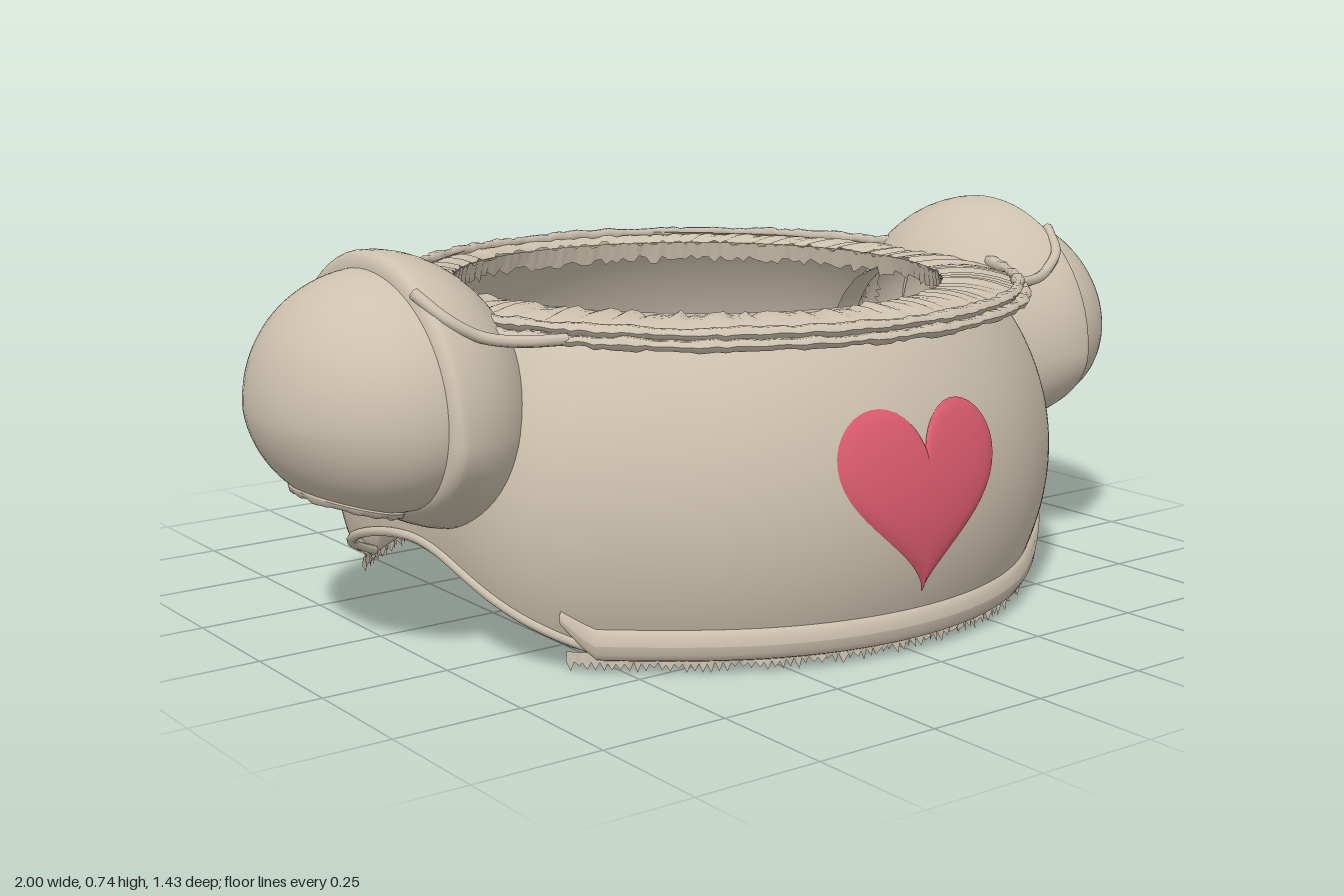
import * as THREE from 'three';

const { sin, cos, PI, sqrt, abs, max, exp, atan2 } = Math;
const cloth = new THREE.MeshStandardMaterial({ color: 0xcdc1ae, side: THREE.DoubleSide });
cloth.name = 'beige cloth';
const pink = new THREE.MeshStandardMaterial({ color: 0xdb5b6d, side: THREE.DoubleSide });
pink.name = 'pink patch';

// Small repeatable noise in 0..1
const noise = (n) => { const v = sin(n * 127.1 + 31.7) * 43758.5453; return v - Math.floor(v); };

// Body shell: a rounded profile swept round a circle that flares beside the sleeves
const A = 0.71, B = 0.6, CY = 0.26;
const radiusAt = (y) => A * sqrt(max(0, 1 - ((y - CY) / B) ** 2));
const flare = (a) => {
  const phi = atan2(abs(sin(a)), abs(cos(a)));
  return 1 + 0.05 * exp(-(((phi - 1.08) / 0.25) ** 2)) - 0.05 * exp(-(((phi - PI / 2) / 0.3) ** 2));
};
const sideX = (y, z) => {
  let x = 0.65;
  for (let i = 0; i < 8; i++) x = sqrt(max(0, (radiusAt(y) * flare(atan2(x, z))) ** 2 - z * z));
  return x;
};
const bottomAt = (z) => 0.04 + 0.14 * max(0, 1 - (z / 0.42) ** 2);
const collarY = (z) => 0.62 - 0.03 * z;
const outsideBody = (p) => p.y > collarY(p.z) + 0.01 ||
  Math.hypot(p.x, p.z) > radiusAt(p.y) * flare(atan2(p.x, p.z)) - 0.012;
const ARM = { y: 0.42, z: 0.035 };

// Surface from a rule f(u, v); u may close on itself, keep() drops faces
function surface(name, nu, nv, f, { closed = true, keep, mat = cloth } = {}) {
  const cols = closed ? nu : nu + 1, pts = [], index = [];
  for (let j = 0; j <= nv; j++)
    for (let i = 0; i < cols; i++) pts.push(new THREE.Vector3(...f(i / nu, j / nv, i)));
  const tri = (a, b, c) => {
    const mid = pts[a].clone().add(pts[b]).add(pts[c]).divideScalar(3);
    if (!keep || keep(mid)) index.push(a, b, c);
  };
  for (let j = 0; j < nv; j++)
    for (let i = 0; i < nu; i++) {
      const k = (i + 1) % cols;
      const a = j * cols + i, b = j * cols + k, c = a + cols, d = b + cols;
      tri(a, b, d);
      tri(a, d, c);
    }
  const g = new THREE.BufferGeometry().setFromPoints(pts);
  g.setIndex(index);
  g.computeVertexNormals();
  const mesh = new THREE.Mesh(g, mat);
  mesh.name = name;
  return mesh;
}

function tube(name, points, radius) {
  const curve = new THREE.CatmullRomCurve3(points.map((p) => new THREE.Vector3(...p)));
  const mesh = new THREE.Mesh(new THREE.TubeGeometry(curve, 60, radius, 8), cloth);
  mesh.name = name;
  return mesh;
}

// Shell with an open armhole on each side
function makeBody() {
  return surface('body', 200, 50, (u, v) => {
    const a = u * 2 * PI, k = flare(a), z0 = A * k * cos(a);
    const lo = bottomAt(z0), hi = collarY(z0) + 0.01;
    const y = lo + (hi - lo) * v, r = radiusAt(y) * k;
    return [r * sin(a), y, r * cos(a)];
  }, { keep: (p) => ((p.y - ARM.y) / 0.175) ** 2 + ((p.z - ARM.z) / 0.26) ** 2 > 1 });
}

function makeCollar() {
  const g = new THREE.Group();
  g.name = 'collar';
  const outer = (a) => [0.665 * sin(a), 0.05 + 0.595 * cos(a)];
  // Gathered band with radial pleats
  g.add(surface('collarBand', 240, 6, (u, v, i) => {
    const a = u * 2 * PI, [ox, oz] = outer(a);
    const pleat = (noise(i) - 0.5) * 0.014 * v;
    const x = ox + (0.495 * sin(a) - ox) * v, z = oz + (0.505 * cos(a) - oz) * v;
    const y0 = collarY(oz);
    return [x * (1 + pleat), y0 + (0.63 - y0) * v + 0.012 * sin(v * PI) + pleat, z * (1 + pleat)];
  }));
  // Short frill hanging from the inner edge
  g.add(surface('innerFrill', 240, 2, (u, v, i) => {
    const a = u * 2 * PI, k = 1 + 0.012 * v * (i % 2) + 0.01 * v;
    return [0.495 * k * sin(a), 0.63 - v * (0.03 + 0.02 * noise(i + 9)), 0.505 * k * cos(a)];
  }));
  // Lumpy outer edging, in two rows
  for (const [row, dy] of [[0, -0.008], [1, 0.011]])
    g.add(surface('collarEdging', 260, 6, (u, v, i) => {
      const a = u * 2 * PI, t = v * 2 * PI, [ox, oz] = outer(a);
      const s = 0.008 + 0.006 * noise(Math.floor(i / 3) + row * 50) + 0.002 * noise(i);
      const k = 1 + (s * cos(t) - row * 0.012) / 0.6;
      return [ox * k, collarY(oz) + dy + s * sin(t) + 0.004 * noise(i + 77), oz * k];
    }));
  // Ends of the edging running up onto the sleeves
  for (const s of [-1, 1])
    g.add(tube('edgingTail', [[s * 0.56, 0.605, 0.37], [s * 0.64, 0.605, 0.34], [s * 0.7, 0.615, 0.31],
      [s * 0.75, 0.645, 0.285], [s * 0.785, 0.69, 0.225]], 0.011));
  return g;
}

// Padded hem, toothed frill and arch trim along the lower edge
function makeHem() {
  const g = new THREE.Group();
  g.name = 'hem';
  const span = 0.985;
  for (const mid of [0, PI]) {
    const side = mid ? 'back' : 'front';
    g.add(surface(side + 'Hem', 70, 12, (u, v) => {
      const e = max(0, abs(2 * u - 1) - 0.92) / 0.08, a = mid + (2 * u - 1) * span, t = v * 2 * PI;
      const y = 0.057 + 0.05 * e, fat = 1 - 0.6 * e;
      const r = radiusAt(y) * flare(a) + 0.004 + 0.019 * fat * cos(t);
      return [r * sin(a), y + 0.032 * fat * sin(t), r * cos(a)];
    }, { closed: false }));
    g.add(surface(side + 'HemFrill', 180, 2, (u, v, i) => {
      const a = mid + (2 * u - 1) * span;
      const drop = i % 2 ? 0.026 + 0.012 * noise(i + mid) : 0.018;
      const r = radiusAt(0.04) * flare(a) + 0.008 + 0.014 * (noise(i + 5) - 0.4) * v;
      return [r * sin(a), 0.038 - v * drop, r * cos(a)];
    }, { closed: false }));
  }
  for (const s of [-1, 1]) {
    const path = [];
    for (let i = 0; i <= 24; i++) {
      const z = 0.42 * (i / 12 - 1), y = bottomAt(z);
      path.push([s * sideX(y, z), y, z]);
    }
    g.add(tube('sideArchTrim', path, 0.01));
  }
  return g;
}

function makeSleeve(s) {
  const g = new THREE.Group();
  g.name = s > 0 ? 'leftSleeve' : 'rightSleeve';
  // Shoulder part: half dome with a rolled lip above, its underside rising outwards
  g.add(surface('shoulder', 64, 50, (u, v) => {
    const a = u * 2 * PI, q = Math.min(v / 0.85, 1) * PI / 2, lip = max(0, v - 0.85) / 0.15;
    const r = sin(q) * (1 - 0.12 * lip * lip), x = 0.765 - 0.26 * cos(q) + 0.024 * sin(lip * PI / 2);
    const ry = cos(a) > 0 ? 0.31 : 0.24 - 0.55 * max(0, x - 0.66);
    return [s * x, 0.435 + ry * r * cos(a), 0.045 + 0.325 * r * sin(a)];
  }, { keep: outsideBody }));
  // Puffed outer part, narrowing to an opening below
  const END = 2.66;
  const puff = (a, q, grow = 0) => {
    const t = -cos(q), low = max(0, t), r = sin(q) + grow;
    const x = 0.24 * r * cos(a) * (1 - 0.3 * low ** 1.5) + 0.1 * low * low;
    const y = 0.462 - t * (t > 0 ? 0.212 : 0.253) + 0.33 * low * low * x;
    return [s * (0.76 + x), y, 0.05 + 0.295 * r * sin(a)];
  };
  g.add(surface('puff', 64, 40, (u, v) => puff(u * 2 * PI, 0.001 + v * (END - 0.001)),
    { keep: (p) => outsideBody(p) && abs(p.x) > 0.7 }));
  // Cuff ring round the arm opening
  g.add(surface('cuff', 64, 8, (u, v, i) => {
    const t = v * 2 * PI, w = 0.009 + 0.005 * noise(Math.floor(i / 2));
    const p = puff(u * 2 * PI, END, 0.04 * cos(t));
    return [p[0], p[1] + w * sin(t), p[2]];
  }));
  // Facing band inside the armhole, hanging from the collar
  g.add(surface('armholeFacing', 64, 4, (u, v, i) => {
    const a = u * 2 * PI, k = 1 + 0.04 * v + 0.03 * (noise(i) - 0.5) * (1 - v);
    const x = 0.51 + 0.11 * max(0, -cos(a)) + 0.07 * v;
    return [s * x, ARM.y + 0.185 * k * cos(a), ARM.z + 0.2 * k * sin(a)];
  }));
  return g;
}

// Raised heart following the curve of the front
function makeHeart() {
  return surface('heartPatch', 72, 14, (u, v) => {
    const t = u * 2 * PI, k = 0.001 + 0.999 * v;
    const x = 0.19 * k * sin(t) ** 3;
    const y = 0.325 + 0.0121 * k * (13 * cos(t) - 5 * cos(2 * t) - 2 * cos(3 * t) - cos(4 * t));
    const lift = 0.002 + 0.007 * sqrt(max(0, 1 - v ** 6));
    return [x, y, sqrt(radiusAt(y) ** 2 - x * x) + lift];
  }, { mat: pink });
}

export function createModel() {
  const model = new THREE.Group();
  model.name = 'puffSleeveTop';
  model.add(makeBody(), makeCollar(), makeHem(), makeSleeve(1), makeSleeve(-1), makeHeart());
  return model;
}
